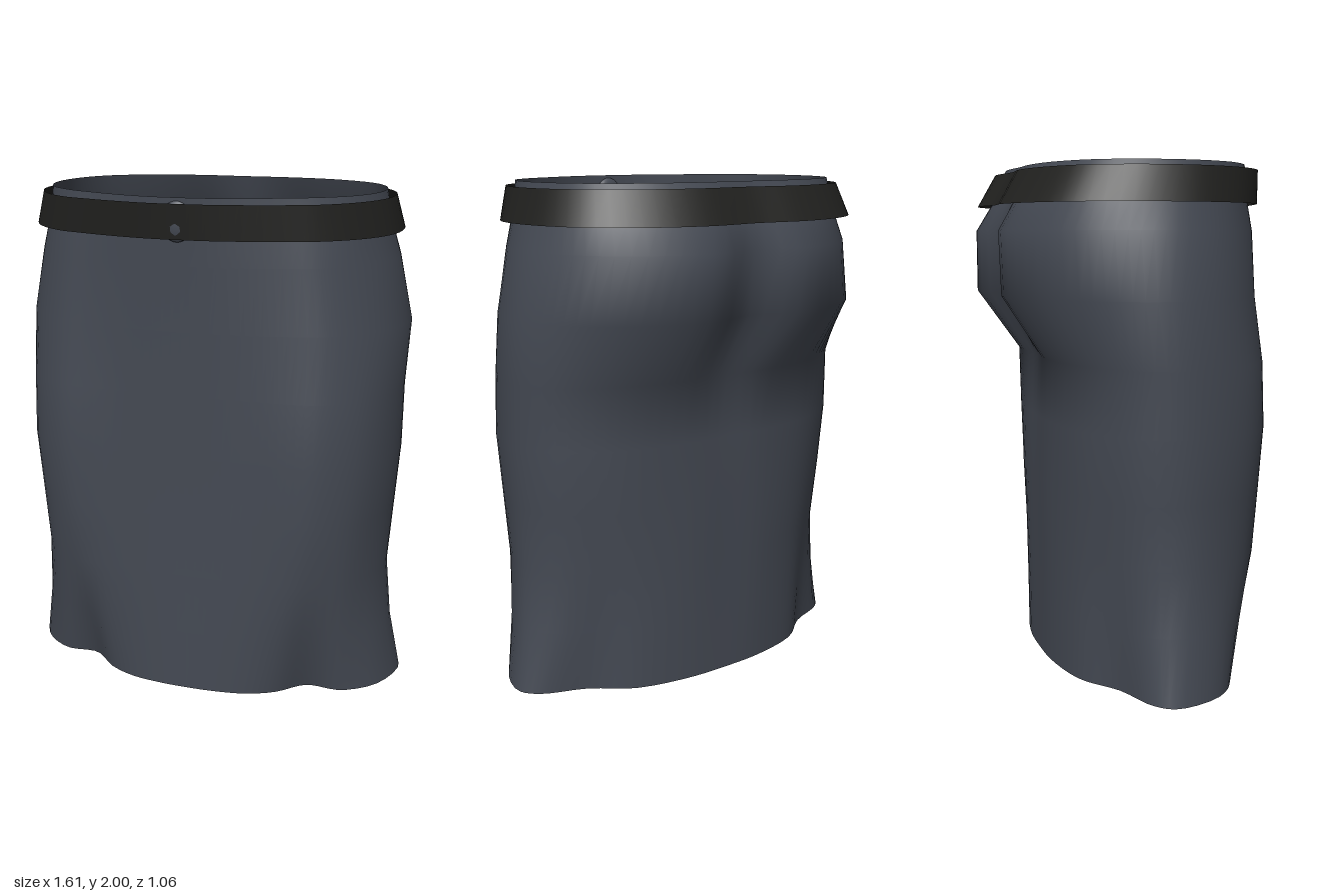
import * as THREE from 'three';

const SEGMENTS = 88;

// Half outlines seen from above, [x, z], from front centre round the left side to back centre
const hem = [[0, .45], [.125, .445], [.25, .425], [.36, .375], [.47, .28], [.61, .28], [.745, .18], [.805, -.01],
  [.75, -.085], [.57, -.16], [.42, -.27], [.2, -.325], [0, -.335]];
const knee = [[0, .45], [.14, .45], [.28, .445], [.4, .44], [.5, .42], [.63, .34], [.725, .19], [.755, .04],
  [.7, -.1], [.56, -.21], [.41, -.285], [.2, -.333], [0, -.337]];
const thigh = [[0, .455], [.14, .455], [.28, .452], [.41, .455], [.53, .44], [.665, .345], [.75, .19], [.775, .02],
  [.715, -.135], [.58, -.24], [.42, -.305], [.2, -.338], [0, -.34]];
const seat = [[0, .475], [.14, .472], [.28, .455], [.4, .43], [.53, .395], [.665, .285], [.755, .14], [.785, -.03],
  [.74, -.185], [.64, -.335], [.46, -.465], [.23, -.53], [0, -.465]];
const waist = [[0, .51], [.12, .502], [.24, .47], [.36, .42], [.48, .36], [.59, .265], [.655, .13], [.67, 0],
  [.645, -.14], [.57, -.265], [.4, -.365], [.2, -.402], [0, -.4]];
const beltLine = [[0, .52], [.12, .515], [.26, .488], [.39, .45], [.51, .405], [.64, .295], [.72, .15], [.74, 0],
  [.715, -.17], [.62, -.345], [.45, -.46], [.23, -.515], [0, -.495]];

const mix = (a, b, t) => a.map(([x, z], i) => [x + (b[i][0] - x) * t, z + (b[i][1] - z) * t]);

// Scale an outline to a half width, front and back, mirror it and smooth it into a ring
function makeRing([y, outline, width, front, back]) {
  const maxX = Math.max(...outline.map(p => p[0]));
  const maxZ = Math.max(...outline.map(p => p[1]));
  const minZ = Math.min(...outline.map(p => p[1]));
  const half = outline.map(([x, z]) =>
    new THREE.Vector3(x * width / maxX, y, z > 0 ? z * front / maxZ : z * back / minZ));
  const mirrored = half.slice(1, -1).reverse().map(p => new THREE.Vector3(-p.x, y, p.z));
  const curve = new THREE.CatmullRomCurve3([...half, ...mirrored], true);
  return Array.from({ length: SEGMENTS }, (_, i) => curve.getPoint(i / SEGMENTS));
}

// Join rings from bottom to top into an open tube
function loft(levels) {
  const index = [];
  for (let r = 0; r < levels.length - 1; r++) {
    for (let i = 0; i < SEGMENTS; i++) {
      const a = r * SEGMENTS + i;
      const b = r * SEGMENTS + (i + 1) % SEGMENTS;
      index.push(a, b, b + SEGMENTS, a, b + SEGMENTS, a + SEGMENTS);
    }
  }
  const geometry = new THREE.BufferGeometry().setFromPoints(levels.flatMap(makeRing));
  geometry.setIndex(index);
  geometry.computeVertexNormals();
  return geometry;
}

export function createModel() {
  const group = new THREE.Group();
  const cloth = new THREE.MeshStandardMaterial({ color: 0x454a54, side: THREE.DoubleSide });
  cloth.name = 'slate cloth';
  const leather = new THREE.MeshStandardMaterial({ color: 0x21211f, side: THREE.DoubleSide });
  leather.name = 'black leather';

  const add = (name, geometry, material) => {
    const mesh = new THREE.Mesh(geometry, material);
    mesh.name = name;
    group.add(mesh);
    return mesh;
  };

  // Skirt: height, outline, half width, front z, back z
  add('skirt', loft([
    [0, hem, .805, .45, -.335],
    [.25, mix(hem, knee, .6), .76, .45, -.335],
    [.5, knee, .74, .45, -.337],
    [.75, mix(knee, thigh, .6), .757, .452, -.34],
    [1, thigh, .775, .457, -.34],
    [1.25, mix(thigh, seat, .25), .775, .465, -.345],
    [1.5, seat, .785, .475, -.525],
    [1.75, mix(seat, waist, .25), .73, .49, -.53],
    [1.87, mix(seat, waist, .7), .695, .5, -.455],
    [2, waist, .67, .51, -.4],
  ]), cloth);

  // Belt: a thin band widening downwards
  add('belt', loft([
    [1.85, beltLine, .74, .52, -.52],
    [1.98, beltLine, .705, .535, -.445],
  ]), leather);

  // Button: a flattened ball that just shows through the belt
  const button = add('button', new THREE.SphereGeometry(1, 20, 14), cloth);
  button.scale.set(.062, .075, .022);
  button.position.set(0, 1.914, .505);

  return group;
}
